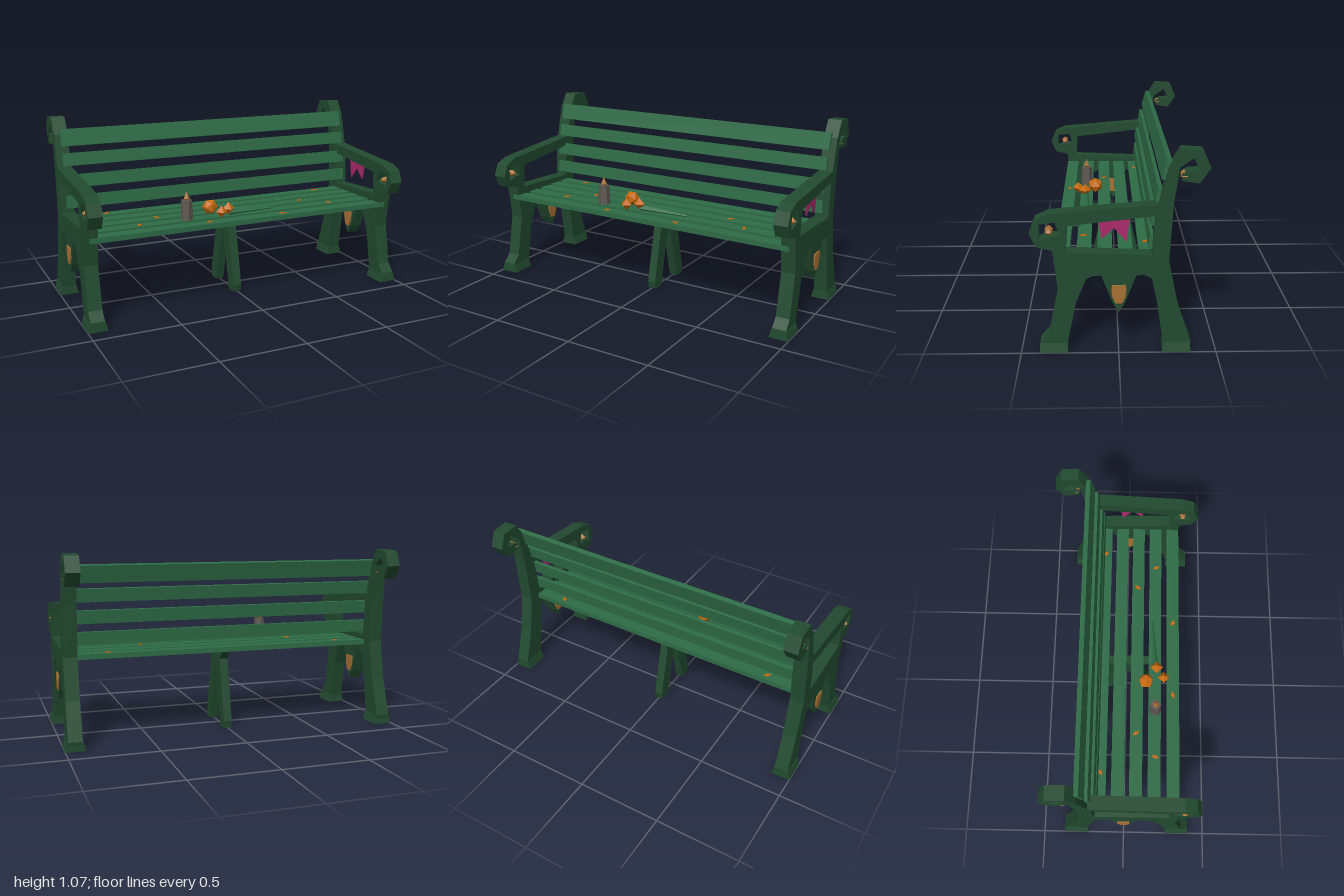
import * as THREE from 'three';

const flat = (name, color, extra = {}) =>
  Object.assign(new THREE.MeshStandardMaterial({ color, flatShading: true, ...extra }), { name });

export function createModel() {
  const model = new THREE.Group();
  model.name = 'parkBench';
  const frameGreen = flat('frame green', 0x224a30);
  const slatGreen = flat('slat green', 0x2e6b46);
  const bronze = flat('bronze', 0xa87035);
  const orange = flat('orange', 0xc76a10);
  const grey = flat('candle grey', 0x5f5853);
  const magenta = flat('magenta', 0xab2a6c, { side: THREE.DoubleSide });

  const add = (parent, name, geometry, material, x = 0, y = 0, z = 0) => {
    const mesh = new THREE.Mesh(geometry, material);
    mesh.name = name;
    mesh.position.set(x, y, z);
    parent.add(mesh);
    return mesh;
  };
  const toPoints = (list) => list.map(([z, y]) => new THREE.Vector2(z, y));

  // Side-profile plate: outline given as (z, y), thickness centred along x
  const plate = (outline, width, holes = []) => {
    const shape = new THREE.Shape(toPoints(outline));
    for (const hole of holes) shape.holes.push(new THREE.Path(toPoints(hole)));
    const geometry = new THREE.ExtrudeGeometry(shape, { depth: width, bevelEnabled: false });
    geometry.translate(0, 0, -width / 2);
    return geometry.rotateY(-Math.PI / 2);
  };

  // Cast side frame: legs, arm scroll, back post with curl and centre pendant
  const frameOutline = [
    [0.262, 0.02], [0.4, 0.02], [0.4, 0.055], [0.355, 0.105], [0.306, 0.346], [0.33, 0.556],
    [0.41, 0.576], [0.443, 0.647], [0.414, 0.718], [0.343, 0.749],
    [-0.196, 0.794], [-0.244, 0.979], [-0.3, 1.072], [-0.405, 1.064],
    [-0.443, 0.976], [-0.39, 0.9], [-0.306, 0.913], [-0.304, 0.945],
    [-0.335, 0.962], [-0.388, 0.965], [-0.36, 1.027], [-0.292, 0.979],
    [-0.267, 0.794], [-0.25, 0.5], [-0.298, 0.264], [-0.369, 0.054], [-0.366, 0.02],
    [-0.227, 0.02], [-0.227, 0.05], [-0.193, 0.278], [-0.165, 0.406], [-0.096, 0.44],
    [-0.085, 0.414], [-0.03, 0.27], [0, 0.22], [0.03, 0.27], [0.085, 0.414],
    [0.096, 0.44], [0.165, 0.403], [0.216, 0.278], [0.262, 0.05],
  ];
  const armOpening = [[0.255, 0.686], [-0.18, 0.735], [-0.165, 0.53], [0.264, 0.5475]];
  const scrollOpening = [[0.394, 0.695], [0.315, 0.706], [0.29, 0.633], [0.345, 0.63], [0.394, 0.613]];
  const frameGeometry = plate(frameOutline, 0.08, [armOpening, scrollOpening]);

  const badge = plate([
    [-0.034, 0.372], [-0.038, 0.345], [-0.032, 0.305], [-0.016, 0.272],
    [0.016, 0.272], [0.032, 0.305], [0.038, 0.345], [0.034, 0.372],
  ], 0.096);

  // Foot block flared towards the ground
  const footGeometry = (length) => {
    const geometry = new THREE.BoxGeometry(0.112, 0.05, length);
    const p = geometry.attributes.position;
    for (let i = 0; i < p.count; i++) {
      if (p.getY(i) > 0) p.setXYZ(i, p.getX(i) * 0.78, p.getY(i), p.getZ(i) * 0.96);
    }
    return geometry;
  };

  for (const side of [-1, 1]) {
    const end = new THREE.Group();
    end.name = side > 0 ? 'leftEnd' : 'rightEnd';
    end.position.x = side * 0.944;
    add(end, 'sideFrame', frameGeometry, frameGreen);
    add(end, 'badge', badge, bronze);
    add(end, 'frontFoot', footGeometry(0.145), frameGreen, 0, 0.025, 0.333);
    add(end, 'rearFoot', footGeometry(0.146), frameGreen, 0, 0.025, -0.296);
    for (const [y, z] of [[0.65, 0.346], [0.935, -0.318]]) {
      add(end, 'scrollKnob', new THREE.IcosahedronGeometry(0.023, 0), bronze, 0, y, z).scale.x = 2.2;
    }
    model.add(end);
  }

  // Splayed middle support under the seat
  add(model, 'middleSupport', plate([
    [0.16, 0], [0.167, 0.043], [0.085, 0.414], [0.14, 0.472], [-0.14, 0.472],
    [-0.085, 0.414], [-0.167, 0.043], [-0.16, 0], [-0.096, 0], [-0.022, 0.3],
    [0, 0.37], [0.022, 0.3], [0.096, 0],
  ], 0.05), frameGreen);

  // Seat slats
  for (const z of [-0.144, -0.038, 0.068, 0.177, 0.288]) {
    add(model, 'seatSlat', new THREE.BoxGeometry(1.9, 0.03, 0.076), slatGreen, 0, 0.486, z);
  }

  // Back slats: height, y, z, thickness, backward tilt
  for (const [h, y, z, t, tilt] of [
    [0.1, 0.957, -0.234, 0.028, 0.26], [0.075, 0.835, -0.195, 0.021, 0.17],
    [0.075, 0.711, -0.171, 0.02, 0.12], [0.073, 0.59, -0.161, 0.018, 0.09],
  ]) {
    add(model, 'backSlat', new THREE.BoxGeometry(1.9, h, t), slatGreen, 0, y, z).rotation.x = -tilt;
  }

  // Swallow-tailed pennant hanging from one armrest
  add(model, 'pennant', plate([
    [0.104, 0.71], [0.085, 0.604], [0.024, 0.662], [-0.04, 0.586], [-0.056, 0.725],
  ], 0.008), magenta, 0.944);

  // Candle with faceted flame
  add(model, 'candle', new THREE.CylinderGeometry(0.032, 0.037, 0.117, 6), grey, -0.334, 0.559, 0.18);
  add(model, 'flameTip', new THREE.ConeGeometry(0.019, 0.043, 5), bronze, -0.334, 0.6475, 0.18);
  add(model, 'flameBase', new THREE.CylinderGeometry(0.019, 0.01, 0.012, 5), bronze, -0.334, 0.62, 0.18);

  // Pile of orange nuggets with a tapering stem
  add(model, 'largeNugget', new THREE.IcosahedronGeometry(0.047, 0), orange, -0.163, 0.545, 0.123);
  add(model, 'nugget', new THREE.OctahedronGeometry(0.039, 0), orange, -0.072, 0.54, 0.187);
  add(model, 'smallNugget', new THREE.OctahedronGeometry(0.036, 0), orange, -0.136, 0.537, 0.23);
  const stem = new THREE.CylinderGeometry(0.007, 0.02, 0.31, 4).rotateZ(-Math.PI / 2);
  const stemMesh = add(model, 'stem', stem, slatGreen, 0.09, 0.509, 0.17);
  stemMesh.rotation.set(0, 0.07, -0.02);

  // Fallen leaves, mirrored across the seat
  const leafShape = new THREE.Shape(toPoints([[0.024, 0], [0, 0.012], [-0.024, 0], [0, -0.012]]));
  const leafGeometry = new THREE.ExtrudeGeometry(leafShape, { depth: 0.004, bevelEnabled: false }).rotateX(-Math.PI / 2);
  for (const [x, z, turn] of [[0.718, -0.144, -0.7], [0.48, 0.066, 1.0], [0.622, 0.182, -1.2], [0.237, 0.288, -0.35]]) {
    for (const side of [-1, 1]) {
      add(model, 'leaf', leafGeometry, orange, side * x, 0.501, z).rotation.y = side * turn;
    }
  }

  return model;
}
